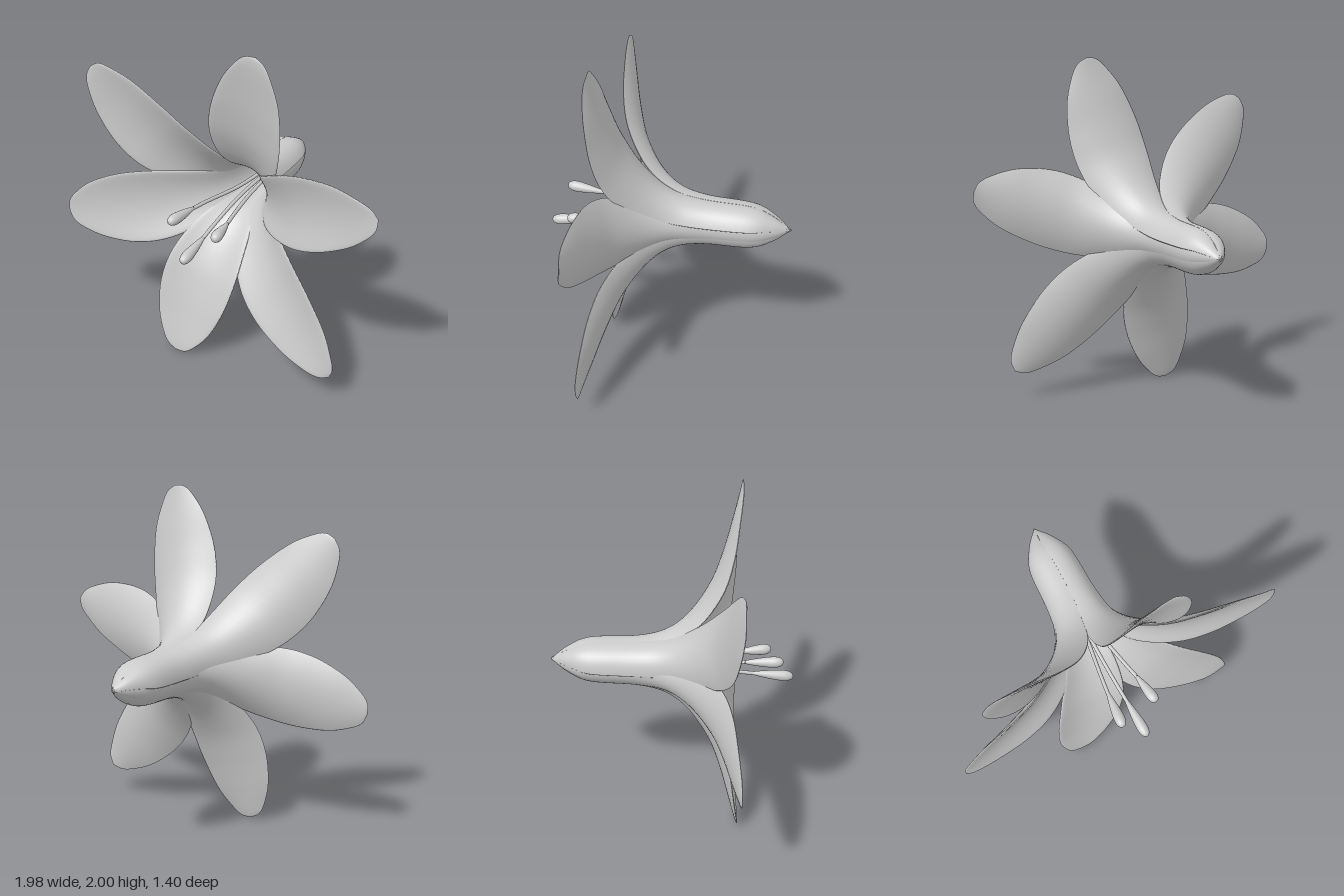
import * as THREE from 'three';

const CENTRE_X = -0.01, CENTRE_Y = 0.985;
const V = (x, y, z) => new THREE.Vector3(x, y, z);
const material = new THREE.MeshStandardMaterial({ color: 0xcccccc, roughness: 0.8, side: THREE.DoubleSide });

// Petal stations from base to tip: radius, z, half width, forward cupping of the edges, thickness
const STATIONS = [
  [0, -0.7, 0.006, 0, 0], [0.075, -0.6, 0.052, 0.022, 0.02], [0.125, -0.47, 0.093, 0.043, 0.032],
  [0.138, -0.2, 0.104, 0.05, 0.04], [0.18, -0.03, 0.117, 0.062, 0.042], [0.28, 0.1, 0.172, 0.077, 0.04],
  [0.45, 0.215, 0.218, 0.075, 0.035], [0.63, 0.283, 0.22, 0.062, 0.03], [0.82, 0.335, 0.178, 0.037, 0.024],
  [0.95, 0.368, 0.112, 0.02, 0.018], [1.01, 0.383, 0.06, 0.008, 0.01], [1.03, 0.39, 0, 0, 0],
];
const curveOf = (points) => new THREE.CatmullRomCurve3(points, false, 'catmullrom', 0.5);
const spine = curveOf(STATIONS.map(([r, z, w]) => V(r, z, w)));
const section = curveOf(STATIONS.map(([, , , cup, thick]) => V(cup, thick, 0)));

// Wraps a flat sheet into a closed, cupped petal with rounded edges
function petalGeometry({ angle, length, inset, tipZ, bow, twist }) {
  const geometry = new THREE.PlaneGeometry(2, 1, 32, 66);
  const pos = geometry.attributes.position;
  for (let i = 0; i < pos.count; i++) {
    const phi = pos.getX(i) * Math.PI;
    const u = Math.cos(phi);
    const t = THREE.MathUtils.clamp(pos.getY(i) + 0.5, 0, 1);
    const s = spine.getPoint(t), form = section.getPoint(t);
    const before = spine.getPoint(Math.max(t - 0.01, 0));
    const after = spine.getPoint(Math.min(t + 0.01, 1));
    const dr = after.x - before.x, dz = after.y - before.y;
    // the back follows the cup, the front is raised by the thickness
    const lift = (form.x * u * u + form.y * Math.max(Math.sin(phi), 0)) / Math.hypot(dr, dz);
    const q = s.x / 1.03;
    const r = q * length - inset * Math.sin(Math.PI * t) - dz * lift;
    const z = s.y + dr * lift + (tipZ - 0.39) * t ** 4;
    const across = Math.max(s.z, 0) * u + bow * 4 * q * (1 - q);
    // the tube end is turned around the axis by the twist
    const a = THREE.MathUtils.degToRad(angle + twist * (1 - q) ** 4);
    const cos = Math.cos(a), sin = Math.sin(a);
    pos.setXYZ(i, CENTRE_X + cos * r - sin * across, CENTRE_Y + sin * r + cos * across, z);
  }
  geometry.computeVertexNormals();
  return geometry;
}

// Thin filament ending in a drop-shaped anther
function stamen(points) {
  const group = new THREE.Group();
  group.name = 'stamen';
  const path = points.map((p) => V(...p));
  const [neck, tip] = path.slice(-2);
  const filament = new THREE.Mesh(
    new THREE.TubeGeometry(new THREE.CatmullRomCurve3(path.slice(0, -1)), 32, 0.011, 10), material);
  filament.name = 'filament';

  const length = neck.distanceTo(tip);
  const outline = [[0.01, 0], [0.018, 0.2], [0.026, 0.45], [0.031, 0.7], [0.029, 0.85], [0.018, 0.96], [0, 1]];
  const profile = new THREE.SplineCurve(outline.map(([r, y]) => new THREE.Vector2(r, y * length)))
    .getPoints(24).map((p) => new THREE.Vector2(Math.max(p.x, 0), p.y));
  const anther = new THREE.Mesh(new THREE.LatheGeometry(profile, 18), material);
  anther.name = 'anther';
  anther.position.copy(neck);
  anther.quaternion.setFromUnitVectors(V(0, 1, 0), tip.clone().sub(neck).normalize());
  group.add(filament, anther);
  return group;
}

export function createModel() {
  const flower = new THREE.Group();
  flower.name = 'flower';

  // Petals overlap in turn: each inset tucks one under its neighbour along the tube
  const petals = [
    { angle: 74.3, length: 1.052, inset: -0.004, tipZ: 0.38, bow: -0.026, twist: -15 },
    { angle: 15.6, length: 1.03, inset: 0.005, tipZ: 0.36, bow: 0.014, twist: -28 },
    { angle: -46.5, length: 1.108, inset: 0.016, tipZ: 0.38, bow: -0.016, twist: 0 },
    { angle: -104.2, length: 1.015, inset: -0.01, tipZ: 0.4, bow: -0.008, twist: 0 },
    { angle: 193.5, length: 1.01, inset: -0.022, tipZ: 0.4, bow: -0.008, twist: 0 },
    { angle: 135.3, length: 1.062, inset: -0.013, tipZ: 0.39, bow: 0.035, twist: 0 },
  ];
  for (const p of petals) {
    const petal = new THREE.Mesh(petalGeometry(p), material);
    petal.name = 'petal';
    flower.add(petal);
  }

  // Stamens rising out of the throat
  flower.add(
    stamen([[-0.02, 0.98, -0.5], [-0.04, 1.0, 0], [-0.08, 1.03, 0.3], [-0.095, 1.04, 0.42], [-0.11, 1.055, 0.635]]),
    stamen([[0, 0.98, -0.5], [0.03, 0.97, 0], [0.08, 0.98, 0.28], [0.105, 0.985, 0.39], [0.135, 0.99, 0.575]]),
    stamen([[-0.01, 0.97, -0.5], [-0.02, 0.96, 0], [-0.01, 0.925, 0.32], [0, 0.905, 0.47], [0.013, 0.88, 0.705]]),
  );
  return flower;
}
